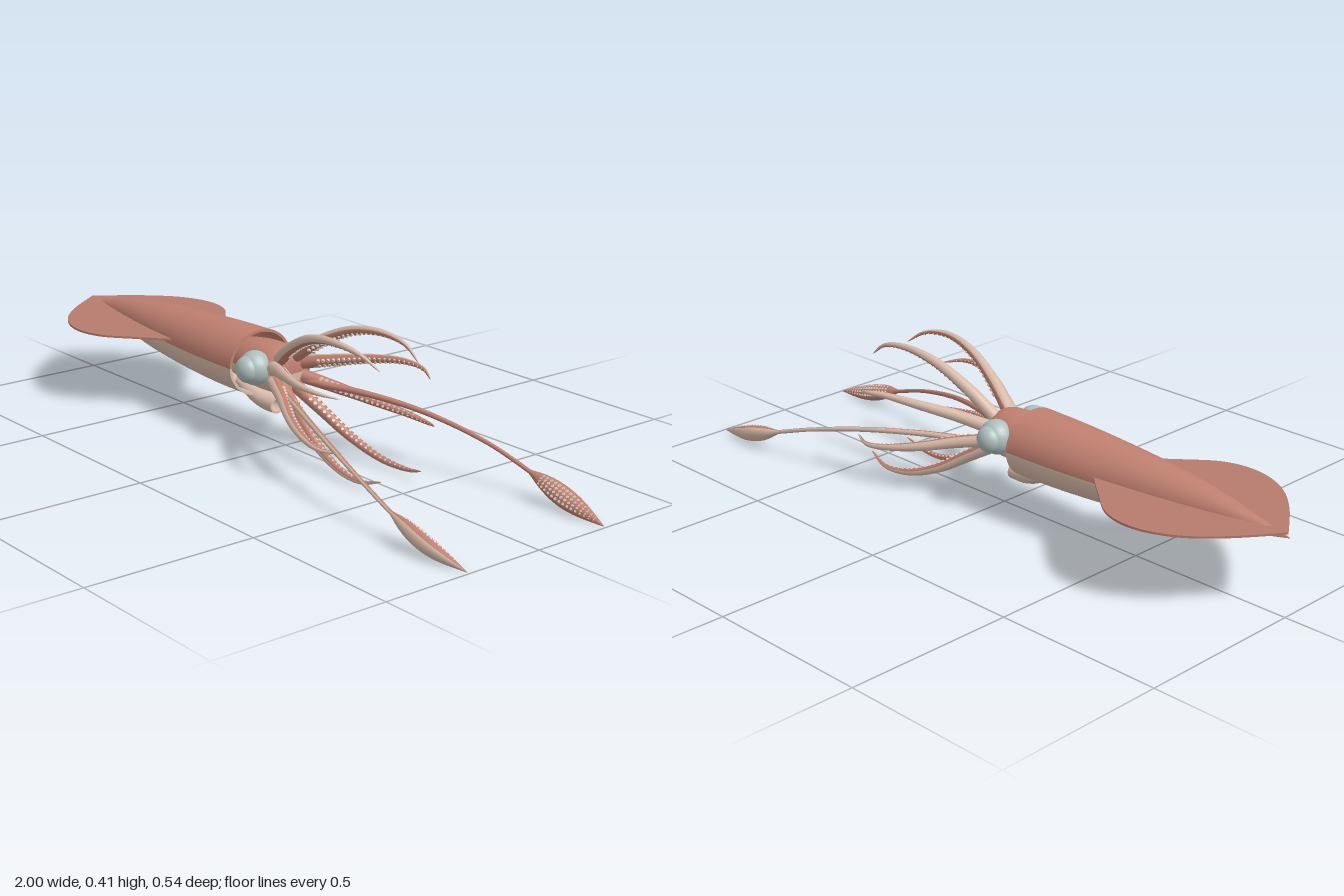
import * as THREE from 'three';
import { mergeGeometries } from 'three/addons/utils/BufferGeometryUtils.js';

const V = (x, y, z) => new THREE.Vector3(x, y, z);
const mat = (name, color, side = THREE.FrontSide) => {
  const m = new THREE.MeshStandardMaterial({ color, side });
  m.name = name;
  return m;
};
const AXIS_Y = 0.235;

// Skin over a row of elliptical rings; first half of each ring and second half get their own material
function skin(name, rings, mats, seg = 16) {
  const pos = [], halves = [[], []];
  for (const { c, N, B, a, b } of rings)
    for (let j = 0; j < seg; j++) {
      const t = (j / seg) * Math.PI * 2;
      const p = c.clone().addScaledVector(B, a * Math.cos(t)).addScaledVector(N, b * Math.sin(t));
      pos.push(p.x, p.y, p.z);
    }
  for (let i = 0; i < rings.length - 1; i++)
    for (let j = 0; j < seg; j++) {
      const k = (j + 1) % seg, r = i * seg, s = r + seg;
      halves[j < seg / 2 ? 0 : 1].push(r + j, r + k, s + j, r + k, s + k, s + j);
    }
  const g = new THREE.BufferGeometry();
  g.setAttribute('position', new THREE.Float32BufferAttribute(pos, 3));
  g.setIndex([...halves[0], ...halves[1]]);
  g.addGroup(0, halves[0].length, 0);
  g.addGroup(halves[0].length, halves[1].length, 1);
  g.computeVertexNormals();
  const mesh = new THREE.Mesh(g, mats);
  mesh.name = name;
  return mesh;
}

// Rings along x from [x, centreY, radiusY, radiusZ]
const straight = (rows) => rows.map(([x, y, ry, rz]) => (
  { c: V(x, y, 0), N: V(0, 1, 0), B: V(0, 0, -1), a: rz, b: ry }));

// Smooth profile through a few rows
function smoothRows(rows, n) {
  const yz = new THREE.CatmullRomCurve3(rows.map(r => V(r[0], r[2], r[3])));
  const cy = new THREE.CatmullRomCurve3(rows.map(r => V(r[0], r[1], 0)));
  return Array.from({ length: n + 1 }, (_, i) => {
    const p = yz.getPoint(i / n);
    return [p.x, cy.getPoint(i / n).y, Math.max(p.y, 0.0005), Math.max(p.z, 0.0005)];
  });
}

// Ring on a limb, with N pointing to the body axis (the sucker side)
function limbRing(curve, t, size) {
  const c = curve.getPointAt(t), T = curve.getTangentAt(t);
  const N = V(0, AXIS_Y - c.y, -c.z);
  N.addScaledVector(T, -N.dot(T)).normalize();
  const [a, b] = size(t);
  return { c, N, B: N.clone().cross(T).normalize(), a, b };
}

function limb(name, points, size, n, mats, suckerMat, suckerSpots, suckerSize) {
  const group = new THREE.Group();
  group.name = name;
  const curve = new THREE.CatmullRomCurve3(points.map(p => V(...p)));
  const rings = Array.from({ length: n + 1 }, (_, i) => limbRing(curve, i / n, size));
  group.add(skin(name + 'Skin', rings, mats, 12));
  const cups = suckerSpots.map(([t, side]) => {
    const { c, N, B, a, b } = limbRing(curve, t, size);
    const r = a * suckerSize;
    const g = new THREE.CylinderGeometry(r * 0.8, r, r * 0.9, 8);
    g.applyQuaternion(new THREE.Quaternion().setFromUnitVectors(V(0, 1, 0), N));
    const p = c.addScaledVector(B, a * side).addScaledVector(N, b * Math.sqrt(1 - side * side));
    return g.translate(p.x, p.y, p.z);
  });
  const suckers = new THREE.Mesh(mergeGeometries(cups), suckerMat);
  suckers.name = name + 'Suckers';
  group.add(suckers);
  return group;
}

export function createModel() {
  const model = new THREE.Group();
  model.name = 'squid';
  const pink = mat('dusky pink skin', 0xc08070);
  const cream = mat('pale skin', 0xd8baa9);
  const finPink = mat('fin pink', 0xb57b6c, THREE.DoubleSide);
  const eyeGrey = mat('eye grey', 0xaebfbf);
  const suckerPale = mat('sucker pale', 0xdfcabd);
  const add = (name, geo, m) => {
    const mesh = new THREE.Mesh(geo, m);
    mesh.name = name;
    model.add(mesh);
    return mesh;
  };

  // Mantle with an open collar
  model.add(skin('mantle', straight(smoothRows([
    [-1, 0.233, 0.001, 0.001], [-0.9, 0.234, 0.022, 0.022], [-0.78, 0.234, 0.047, 0.046],
    [-0.6, 0.232, 0.072, 0.075], [-0.4, 0.23, 0.088, 0.096], [-0.25, 0.23, 0.095, 0.106],
    [-0.115, 0.231, 0.097, 0.11]], 36)), [pink, cream], 40));
  model.add(skin('mantleRim', straight([
    [-0.115, 0.231, 0.097, 0.11], [-0.115, 0.231, 0.089, 0.102]]), [pink, cream], 40));
  model.add(skin('mantleLining', straight([
    [-0.115, 0.231, 0.089, 0.102], [-0.2, 0.231, 0.085, 0.096], [-0.21, 0.231, 0.001, 0.001]]), [pink, cream], 40));

  // Head
  model.add(skin('head', straight(smoothRows([
    [-0.205, 0.233, 0.055, 0.06], [-0.13, 0.235, 0.066, 0.074], [-0.06, 0.235, 0.071, 0.08],
    [-0.01, 0.234, 0.068, 0.072], [0.015, 0.232, 0.056, 0.058], [0.025, 0.23, 0.035, 0.036],
    [0.028, 0.23, 0.001, 0.001]], 24)), [pink, cream], 32));

  // Side fins
  const half = [[-0.91, 0.115], [-0.83, 0.195], [-0.75, 0.238], [-0.67, 0.25],
    [-0.59, 0.228], [-0.51, 0.165], [-0.42, 0.088]];
  for (const s of [1, -1]) {
    const shape = new THREE.Shape();
    shape.moveTo(-0.42, 0);
    shape.lineTo(-0.995, 0);
    shape.splineThru(half.map(([x, z]) => new THREE.Vector2(x, z * s)));
    shape.closePath();
    const geo = new THREE.ExtrudeGeometry(shape, { depth: 0.006, bevelEnabled: false, curveSegments: 32 });
    geo.rotateX(Math.PI / 2);
    add(s > 0 ? 'frontFin' : 'backFin', geo, finPink).position.y = 0.247;
  }

  // Eyes: a broad base and a smaller bulging lens
  for (const s of [1, -1]) {
    for (const [name, r, depth, z] of [['eyeBase', 0.05, 0.045, 0.075], ['eyeLens', 0.038, 0.03, 0.104]]) {
      const eye = add(name, new THREE.SphereGeometry(1, 28, 18), eyeGrey);
      eye.scale.set(r, r, depth);
      eye.position.set(-0.043, 0.246, z * s);
    }
  }

  // Siphon under the head, hollow at the front
  model.add(skin('siphon', straight(smoothRows([
    [-0.19, 0.165, 0.02, 0.034], [-0.14, 0.14, 0.027, 0.032], [-0.09, 0.124, 0.026, 0.028],
    [-0.037, 0.121, 0.024, 0.025]], 14)), [cream, cream], 24));
  model.add(skin('siphonRim', straight([
    [-0.037, 0.121, 0.024, 0.025], [-0.037, 0.121, 0.018, 0.019]]), [cream, cream], 24));
  model.add(skin('siphonLining', straight([
    [-0.037, 0.121, 0.018, 0.019], [-0.09, 0.124, 0.016, 0.017], [-0.092, 0.124, 0.001, 0.001]]), [cream, cream], 24));

  // Eight arms
  const arms = {
    upperLeftArm: [[0, 0.268, 0.026], [0.1, 0.335, 0.056], [0.22, 0.39, 0.085], [0.34, 0.408, 0.1], [0.43, 0.393, 0.09], [0.48, 0.358, 0.07]],
    upperRightArm: [[0, 0.268, -0.024], [0.1, 0.335, -0.04], [0.22, 0.39, -0.054], [0.34, 0.408, -0.062], [0.43, 0.393, -0.066], [0.48, 0.355, -0.066]],
    highSideLeftArm: [[0, 0.25, 0.045], [0.1, 0.272, 0.1], [0.2, 0.29, 0.155], [0.3, 0.299, 0.192], [0.37, 0.296, 0.19], [0.42, 0.285, 0.155]],
    highSideRightArm: [[0, 0.25, -0.045], [0.1, 0.272, -0.09], [0.2, 0.29, -0.14], [0.3, 0.3, -0.175], [0.37, 0.293, -0.184], [0.42, 0.278, -0.165]],
    lowSideLeftArm: [[0, 0.215, 0.045], [0.1, 0.193, 0.09], [0.2, 0.166, 0.14], [0.3, 0.146, 0.173], [0.37, 0.137, 0.178], [0.43, 0.14, 0.155]],
    lowSideRightArm: [[0, 0.215, -0.045], [0.1, 0.193, -0.095], [0.2, 0.166, -0.15], [0.3, 0.146, -0.188], [0.37, 0.138, -0.196], [0.43, 0.145, -0.175]],
    lowerLeftArm: [[0, 0.198, 0.018], [0.1, 0.137, 0.034], [0.2, 0.076, 0.048], [0.31, 0.036, 0.058], [0.4, 0.03, 0.062], [0.48, 0.052, 0.06]],
    lowerRightArm: [[0, 0.198, -0.02], [0.1, 0.137, -0.046], [0.2, 0.076, -0.072], [0.31, 0.036, -0.092], [0.4, 0.03, -0.1], [0.48, 0.05, -0.082]],
  };
  const armSize = (t) => { const r = 0.0195 * Math.pow(1 - t, 0.65) + 0.0008; return [r, r]; };
  const armSpots = [];
  for (let i = 0; i < 24; i++) for (const s of [0.42, -0.42]) armSpots.push([0.16 + i * 0.034, s]);
  for (const [name, pts] of Object.entries(arms))
    model.add(limb(name, pts, armSize, 32, [pink, cream], suckerPale, armSpots, 0.36));

  // Two long tentacles ending in leaf-shaped clubs
  const tentacleSize = (t) => {
    const k = Math.max(0, (t - 0.74) / 0.26);
    const stem = 0.0105 - 0.0045 * Math.min(1, t / 0.6);
    const leaf = Math.sin(Math.PI * Math.pow(k, 0.85));
    const fade = k > 0 ? 1 - k * 0.85 : 1;
    return [stem * fade + 0.024 * leaf, stem * fade + 0.018 * leaf];
  };
  const clubSpots = [];
  for (let i = 0; i < 15; i++) for (const s of [0.6, 0.2, -0.2, -0.6]) clubSpots.push([0.78 + i * 0.0135, s]);
  for (const s of [1, -1]) {
    const pts = [[0, 0.205, 0.04], [0.1, 0.199, 0.075], [0.2, 0.195, 0.115], [0.38, 0.174, 0.177], [0.58, 0.13, 0.224],
      [0.74, 0.08, 0.243], [0.86, 0.043, 0.247], [0.995, 0.014, 0.238]].map(([x, y, z]) => [x, y, z * s]);
    model.add(limb(s > 0 ? 'leftTentacle' : 'rightTentacle', pts, tentacleSize, 64, [pink, cream], suckerPale, clubSpots, 0.18));
  }
  return model;
}
